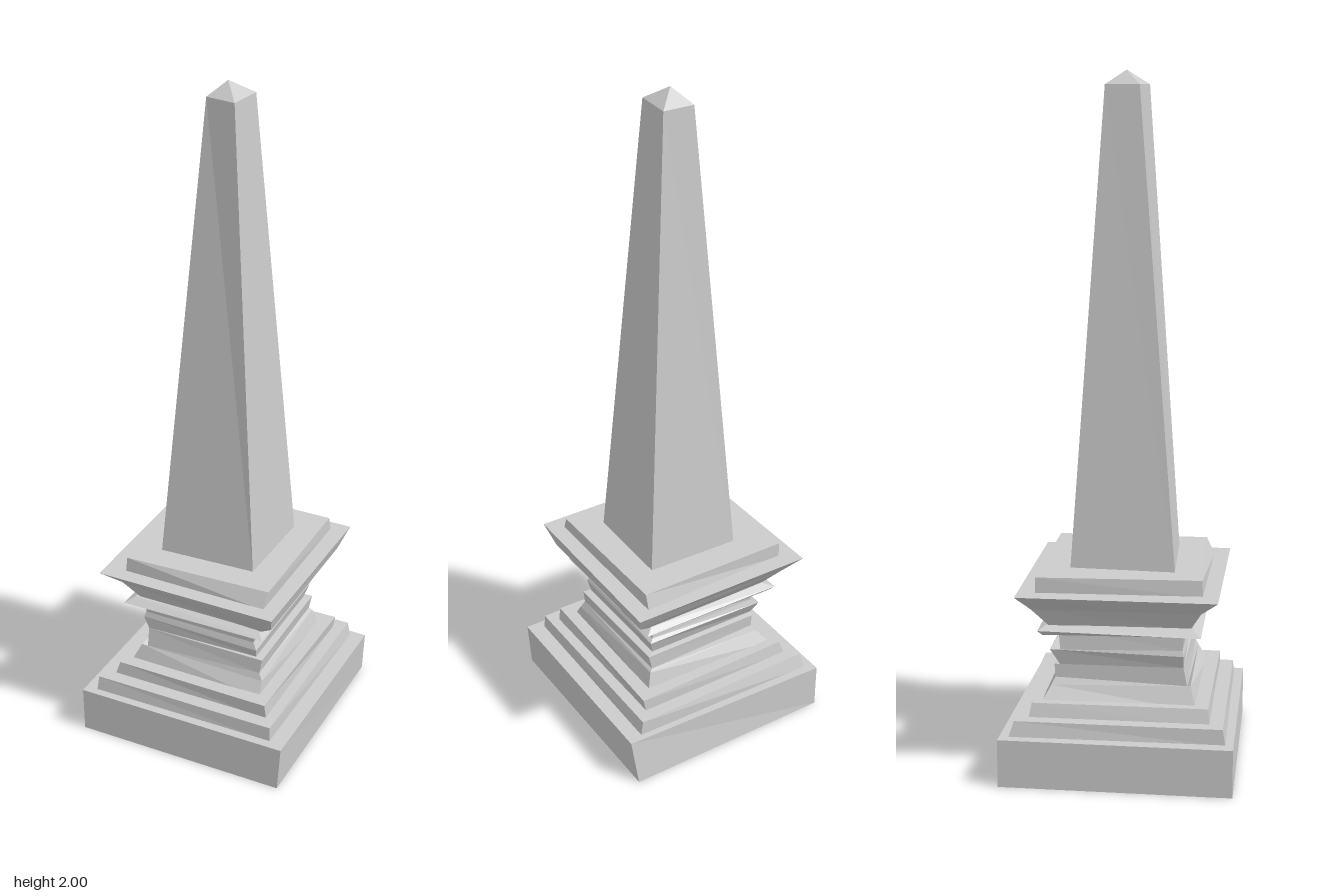
import * as THREE from 'three';

const material = new THREE.MeshStandardMaterial({ color: 0xcccccc, flatShading: true });

// Small seeded wobble for the hand-hewn corners
let seed = 11;
const wobble = (amount) => {
  seed = (seed * 16807) % 2147483647;
  return (seed / 2147483647 - 0.5) * 2 * amount;
};

// Ring of four corners: back left, back right, front right, front left as seen from the front
const ring = (y, ...c) => [0, 1, 2, 3].map((i) => [c[2 * i], y, c[2 * i + 1]]);

// Ring from its x and z limits, with slightly uneven corners
const rough = (y, x0, x1, z0, z1, dy = 0.004) =>
  [[x0, z0], [x1, z0], [x1, z1], [x0, z1]].map(([x, z]) => [x + wobble(0.006), y + wobble(dy), z + wobble(0.006)]);

// Skins a stack of rings and closes both ends; an apex may replace the top cap
function loft(name, rings, apex) {
  const p = [];
  const tri = (a, b, c) => p.push(...a, ...b, ...c);
  for (let r = 0; r < rings.length - 1; r++) {
    const lo = rings[r], hi = rings[r + 1];
    for (let i = 0; i < 4; i++) {
      const j = (i + 1) % 4;
      tri(lo[i], hi[i], hi[j]);
      tri(lo[i], hi[j], lo[j]);
    }
  }
  const bottom = rings[0], top = rings[rings.length - 1];
  tri(bottom[0], bottom[1], bottom[2]);
  tri(bottom[0], bottom[2], bottom[3]);
  if (apex) {
    for (let i = 0; i < 4; i++) tri(top[i], apex, top[(i + 1) % 4]);
  } else {
    tri(top[0], top[2], top[1]);
    tri(top[0], top[3], top[2]);
  }
  const g = new THREE.BufferGeometry();
  g.setAttribute('position', new THREE.Float32BufferAttribute(p, 3));
  g.computeVertexNormals();
  const mesh = new THREE.Mesh(g, material);
  mesh.name = name;
  return mesh;
}

export function createModel() {
  const group = new THREE.Group();
  group.name = 'obelisk';

  group.add(
    // Square base block
    loft('basePlinth', [
      ring(0, -0.332, -0.335, 0.32, -0.335, 0.32, 0.33, -0.332, 0.333),
      ring(0.142, -0.333, -0.335, 0.333, -0.315, 0.33, 0.33, -0.333, 0.333),
    ]),
    // Two steps above the base
    loft('lowerStep', [
      ring(0.138, -0.306, -0.308, 0.288, -0.298, 0.282, 0.303, -0.296, 0.31),
      ring(0.186, -0.295, -0.293, 0.28, -0.296, 0.28, 0.3, -0.292, 0.302),
    ]),
    loft('upperStep', [
      rough(0.18, -0.255, 0.25, -0.255, 0.26),
      rough(0.226, -0.243, 0.248, -0.25, 0.26),
    ]),
    // Waisted pedestal with uneven bands
    loft('pedestal', [
      rough(0.215, -0.225, 0.215, -0.22, 0.22),
      rough(0.265, -0.198, 0.2, -0.205, 0.2, 0.01),
      rough(0.275, -0.185, 0.188, -0.19, 0.19, 0.01),
      rough(0.32, -0.185, 0.195, -0.195, 0.185, 0.006),
      rough(0.328, -0.18, 0.178, -0.18, 0.18, 0.006),
      rough(0.362, -0.198, 0.182, -0.198, 0.185, 0.01),
      rough(0.372, -0.188, 0.175, -0.18, 0.18, 0.01),
      rough(0.43, -0.188, 0.175, -0.18, 0.185),
    ]),
    // Thin fillet below the cornice
    loft('fillet', [
      rough(0.425, -0.215, 0.205, -0.215, 0.21),
      rough(0.436, -0.235, 0.222, -0.23, 0.232, 0.006),
      rough(0.448, -0.205, 0.2, -0.21, 0.205),
    ]),
    // Flared cornice
    loft('cornice', [
      rough(0.44, -0.198, 0.198, -0.2, 0.2, 0.008),
      rough(0.502, -0.238, 0.252, -0.25, 0.24, 0.012),
      ring(0.552, -0.293, -0.288, 0.279, -0.285, 0.275, 0.287, -0.286, 0.284),
    ]),
    // Slab carrying the shaft
    loft('topSlab', [
      ring(0.548, -0.24, -0.237, 0.228, -0.25, 0.228, 0.242, -0.222, 0.238),
      ring(0.597, -0.24, -0.237, 0.228, -0.235, 0.233, 0.217, -0.218, 0.235),
    ]),
    // Tapering shaft with its pyramid tip
    loft('shaft', [
      ring(0.59, -0.133, -0.152, 0.152, -0.145, 0.147, 0.14, -0.147, 0.152),
      ring(1.96, -0.04, -0.06, 0.053, -0.057, 0.045, 0.057, -0.047, 0.038),
    ], [-0.003, 2, -0.003]),
  );
  return group;
}
